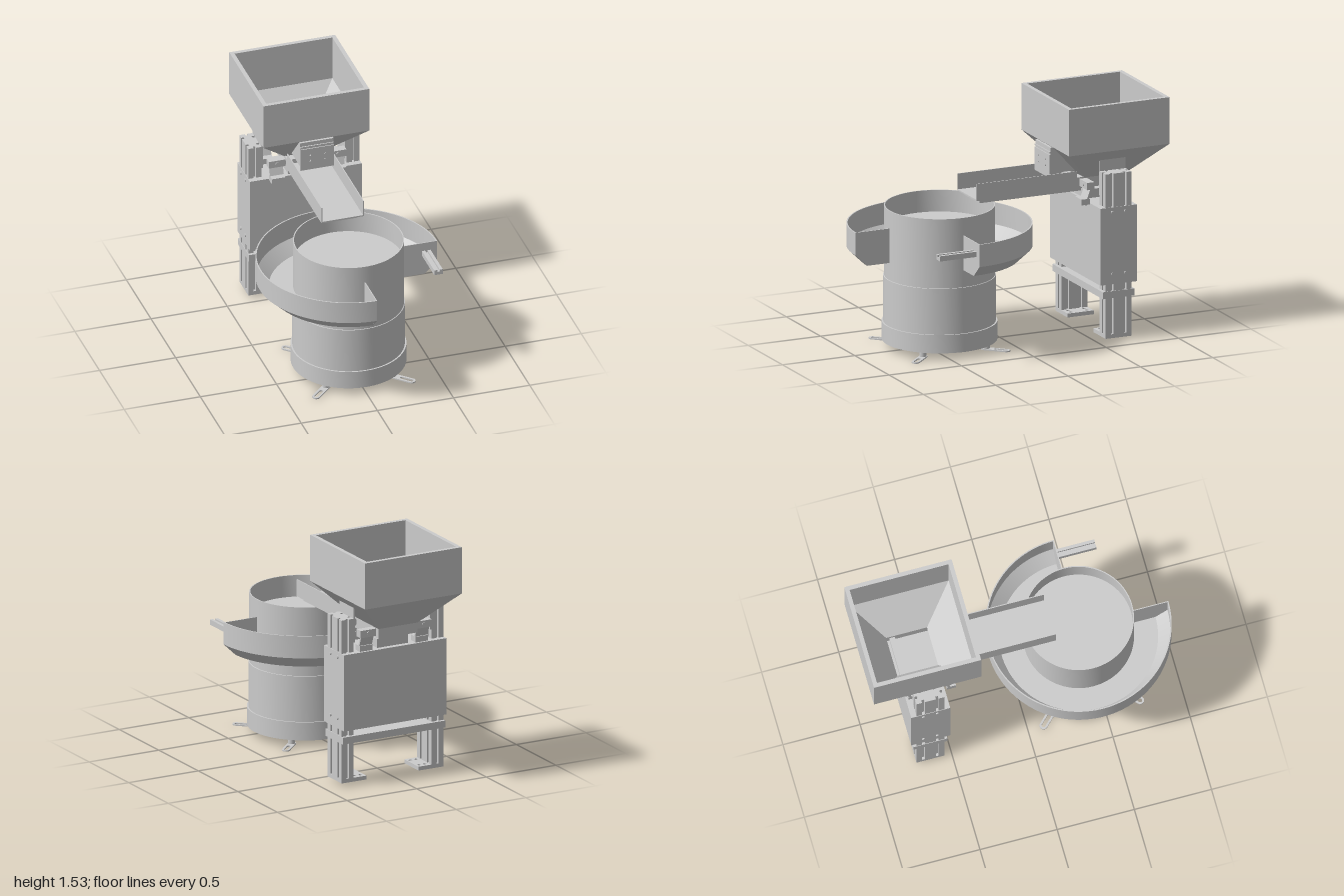
import * as THREE from 'three';
import { toCreasedNormals } from 'three/addons/utils/BufferGeometryUtils.js';

const grey = new THREE.MeshStandardMaterial({ color: 0xcccccc, side: THREE.DoubleSide });
const CX = 0.02;      // centre line of the hopper stand
const BOWL_Z = 0.415; // bowl axis
const STAND_Z = -0.64;

function add(parent, name, geometry, x = 0, y = 0, z = 0) {
  const mesh = new THREE.Mesh(geometry, grey);
  mesh.name = name;
  mesh.position.set(x, y, z);
  parent.add(mesh);
  return mesh;
}

// Box given by its limits on each axis
function box(parent, name, x0, x1, y0, y1, z0, z1) {
  return add(parent, name, new THREE.BoxGeometry(x1 - x0, y1 - y0, z1 - z0),
    (x0 + x1) / 2, (y0 + y1) / 2, (z0 + z1) / 2);
}

const polygon = (points) => new THREE.Shape(points.map(([x, y]) => new THREE.Vector2(x, y)));
const extrude = (shape, depth) =>
  new THREE.ExtrudeGeometry(shape, { depth, bevelEnabled: false, curveSegments: 10 });

function lathe(points, start = 0, length = Math.PI * 2) {
  const profile = points.map(([r, y]) => new THREE.Vector2(r, y));
  return toCreasedNormals(new THREE.LatheGeometry(profile, 80, start, length), 0.5);
}

function hole(shape, x, y, r) {
  const path = new THREE.Path();
  path.absarc(x, y, r, 0, Math.PI * 2, true);
  shape.holes.push(path);
}

// Rounded slot outline along x
function slot(path, x0, x1, r) {
  path.absarc(x1, 0, r, -Math.PI / 2, Math.PI / 2, false);
  path.absarc(x0, 0, r, Math.PI / 2, Math.PI * 1.5, false);
  path.closePath();
  return path;
}

// Skin through rectangular rings [x0, x1, z0, z1, y], closed back to the first
function rectLoft(rings) {
  const corners = rings.map(([x0, x1, z0, z1, y]) => [[x0, y, z1], [x1, y, z1], [x1, y, z0], [x0, y, z0]]);
  const positions = [];
  corners.forEach((low, i) => {
    const high = corners[(i + 1) % corners.length];
    for (let k = 0; k < 4; k++) {
      const n = (k + 1) % 4;
      positions.push(...low[k], ...low[n], ...high[n], ...low[k], ...high[n], ...high[k]);
    }
  });
  const geometry = new THREE.BufferGeometry();
  geometry.setAttribute('position', new THREE.Float32BufferAttribute(positions, 3));
  geometry.computeVertexNormals();
  return geometry;
}

function createBowl() {
  const bowl = new THREE.Group();
  bowl.name = 'bowlFeeder';
  bowl.position.z = BOWL_Z;

  // Drum with stepped base and a recessed floor
  add(bowl, 'drum', lathe([[0, 0.045], [0.362, 0.045], [0.362, 0.163], [0.352, 0.163], [0.352, 0.46],
    [0.347, 0.461], [0.347, 0.91], [0.34, 0.91], [0.34, 0.77], [0, 0.77]]));

  // Three-quarter trough around the drum
  add(bowl, 'trough', lathe([[0.345, 0.572], [0.5, 0.572], [0.582, 0.65], [0.582, 0.795], [0.574, 0.795],
    [0.574, 0.654], [0.497, 0.582], [0.345, 0.582]], Math.PI / 2, Math.PI * 1.5));
  const end = polygon([[0.345, 0.572], [0.5, 0.572], [0.582, 0.65], [0.582, 0.795], [0.345, 0.795]]);
  add(bowl, 'troughEndLeft', extrude(end, 0.006), 0, 0, -0.006);
  add(bowl, 'troughEndFront', extrude(end, 0.006)).rotation.y = -Math.PI / 2;

  // Grooved outlet rail
  const rail = polygon([[-0.028, 0], [0.028, 0], [0.028, 0.034], [0.008, 0.034], [0.008, 0.02],
    [-0.008, 0.02], [-0.008, 0.034], [-0.028, 0.034]]);
  add(bowl, 'outletRail', extrude(rail, 0.25), 0.51, 0.705, 0);

  // Four slotted feet on the diagonals
  const tab = slot(new THREE.Shape(), 0.3, 0.443, 0.025);
  tab.holes.push(slot(new THREE.Path(), 0.375, 0.443, 0.012));
  for (let i = 0; i < 4; i++) {
    const foot = new THREE.Group();
    foot.name = 'foot';
    foot.rotation.y = Math.PI / 4 + i * Math.PI / 2;
    add(foot, 'footTab', extrude(tab, 0.008)).rotation.x = -Math.PI / 2;
    add(foot, 'footPost', new THREE.CylinderGeometry(0.022, 0.022, 0.042, 20), 0.31, 0.027, 0);
    bowl.add(foot);
  }
  return bowl;
}

function createHopper() {
  const hopper = new THREE.Group();
  hopper.name = 'hopper';
  add(hopper, 'hopperShell', rectLoft([
    [-0.12, 0.16, -0.8, -0.51, 1.015], [-0.325, 0.37, -1, -0.305, 1.228], [-0.325, 0.37, -1, -0.305, 1.53],
    [-0.298, 0.343, -0.973, -0.332, 1.53], [-0.298, 0.343, -0.973, -0.332, 1.235],
    [-0.11, 0.15, -0.79, -0.525, 1.03]]));

  // Gate housing wedge under the front slope, with a drilled plate
  const wedge = polygon([[0.29, 1.06], [0.29, 1.226], [0.306, 1.226], [0.46, 1.06]]);
  add(hopper, 'gateHousing', extrude(wedge, 0.22), -0.09).rotation.y = Math.PI / 2;
  hopper.children[1].position.set(0.13, 0, 0);
  hopper.children[1].rotation.y = Math.PI / 2;
  hopper.children[1].scale.z = -1;
  hopper.children[1].position.x = -0.09 + 0.22;
  const plate = polygon([[-0.09, 1.03], [0.13, 1.03], [0.13, 1.18], [-0.09, 1.18]]);
  for (const x of [-0.027, 0.07]) for (const y of [1.095, 1.135]) hole(plate, x, y, 0.007);
  add(hopper, 'gatePlate', extrude(plate, 0.006), 0, 0, -0.29);
  box(hopper, 'gateLip', -0.09, 0.13, 1.19, 1.2, -0.3, -0.283);
  return hopper;
}

function createChute() {
  const chute = new THREE.Group();
  chute.name = 'vibratingChute';
  box(chute, 'chuteFloor', -0.12, 0.16, 0.95, 0.958, -0.8, 0.235);
  for (const x of [-0.12, 0.154]) {
    box(chute, 'chuteWall', x, x + 0.006, 0.95, 1.06, -0.46, 0.235);
    box(chute, 'chuteRearWall', x, x + 0.006, 0.95, 1.02, -0.8, -0.46);
  }
  box(chute, 'chuteBack', -0.12, 0.16, 0.95, 1.02, -0.8, -0.794);
  box(chute, 'chuteRib', -0.09, 0.13, 0.925, 0.95, -0.5, 0.2);

  // Drive: cross beams, clamp blocks and inclined leaf springs
  box(chute, 'driveBody', -0.09, 0.13, 0.868, 0.925, -0.73, -0.53);
  for (const z of [-0.5, -0.75]) {
    box(chute, 'crossBeam', -0.2, 0.24, 0.97, 1.0, z - 0.018, z + 0.018);
    for (const side of [-1, 1]) {
      const x = CX + side * 0.2;
      box(chute, 'clampBlock', x - 0.055, x + 0.055, 0.965, 1.012, z - 0.025, z + 0.025);
      add(chute, 'clampBolt', new THREE.CylinderGeometry(0.011, 0.011, 0.06, 12), x, 0.99, z).rotation.x = Math.PI / 2;
      const spring = add(chute, 'leafSpring', new THREE.BoxGeometry(0.09, 0.14, 0.012), x, 0.93, z + 0.005);
      spring.rotation.x = -0.35;
      box(chute, 'springBase', x - 0.045, x + 0.045, 0.868, 0.905, z, z + 0.06);
    }
  }
  return chute;
}

function createStand() {
  const stand = new THREE.Group();
  stand.name = 'stand';
  stand.position.set(CX, 0, STAND_Z);

  // Slotted post section: two grooves on the long faces, one on the short ones
  const half = [[-0.043, -0.09], [-0.008, -0.09], [-0.008, -0.072], [0.008, -0.072], [0.008, -0.09], [0.043, -0.09]];
  for (const y of [-0.045, 0.045]) {
    half.push([0.043, y - 0.009], [0.025, y - 0.009], [0.025, y + 0.009], [0.043, y + 0.009]);
  }
  const section = polygon([...half, ...half.map(([x, y]) => [-x, -y])]);
  const base = polygon([[-0.043, -0.09], [0.135, -0.09], [0.135, 0.09], [-0.043, 0.09]]);
  for (const y of [-0.055, 0.055]) for (const x of [0.07, 0.11]) hole(base, x, y, 0.012);

  for (const side of [-1, 1]) {
    const leg = new THREE.Group();
    leg.name = side < 0 ? 'rightLeg' : 'leftLeg';
    leg.position.x = side * 0.322;
    if (side > 0) leg.rotation.y = Math.PI; // base plates point inwards
    add(leg, 'post', extrude(section, 1.04), 0, 0.045, 0).rotation.x = -Math.PI / 2;
    add(leg, 'basePlate', extrude(base, 0.025), 0, 0.02, 0).rotation.x = -Math.PI / 2;
    box(leg, 'hopperBracket', 0.043, 0.053, 0.93, 1.175, -0.09, 0.09);
    for (const z of [-0.045, 0.045]) for (const y of [0.435, 0.835]) {
      add(leg, 'panelBolt', new THREE.CylinderGeometry(0.01, 0.01, 0.008, 12), -0.05, y, z).rotation.z = Math.PI / 2;
    }
    stand.add(leg);
  }

  // Cabinet between the posts and the shelf under it
  box(stand, 'cabinet', -0.368, 0.368, 0.37, 0.868, -0.125, 0.128);
  box(stand, 'shelf', -0.368, 0.368, 0.28, 0.325, -0.11, 0.11);
  return stand;
}

export function createModel() {
  const model = new THREE.Group();
  model.name = 'hopperAndBowlFeeder';
  model.add(createBowl(), createHopper(), createChute(), createStand());
  return model;
}
